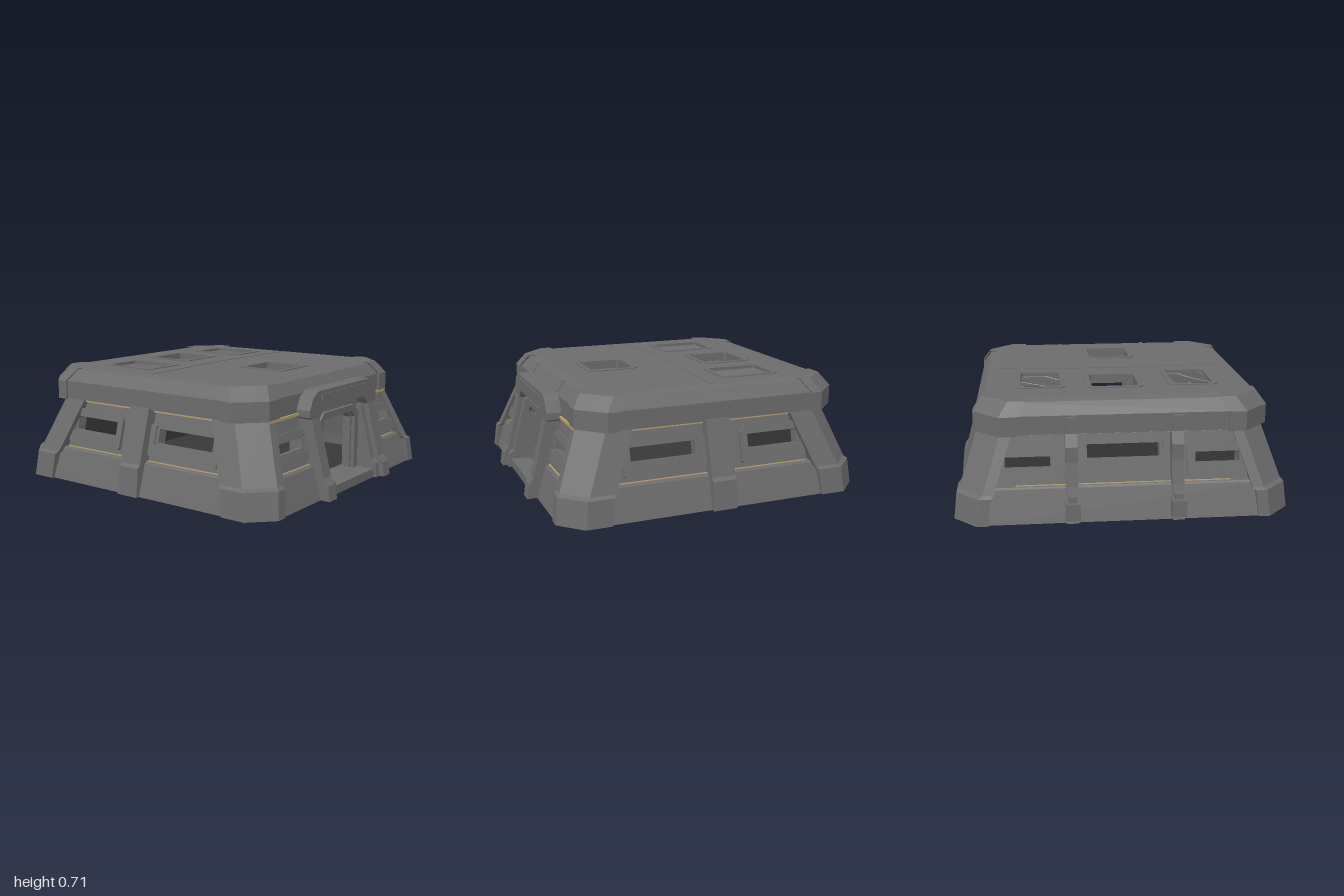
import * as THREE from 'three';

const hull = new THREE.MeshStandardMaterial({ color: 0x6c6c6c, flatShading: true, side: THREE.DoubleSide });
hull.name = 'hull grey';
const dark = new THREE.MeshStandardMaterial({ color: 0x383838 });
dark.name = 'interior dark grey';
const amber = new THREE.MeshStandardMaterial({ color: 0xb8a070 });
amber.name = 'amber light';

function add(parent, name, geo, mat = hull, x = 0, y = 0, z = 0) {
  const m = new THREE.Mesh(geo, mat);
  m.name = name;
  m.position.set(x, y, z);
  parent.add(m);
  return m;
}
const box = (w, h, d) => new THREE.BoxGeometry(w, h, d);
const poly = pts => new THREE.Shape(pts.map(p => new THREE.Vector2(p[0], p[1])));
const extrude = (shape, depth) => new THREE.ExtrudeGeometry(shape, { depth, bevelEnabled: false });

// rectangle with separate chamfers at bottom and top
const chamferRect = (x0, x1, y0, y1, cb, ct = cb) => [
  [x0 + cb, y0], [x1 - cb, y0], [x1, y0 + cb], [x1, y1 - ct],
  [x1 - ct, y1], [x0 + ct, y1], [x0, y1 - ct], [x0, y0 + cb]];

function holed(outer, holes) {
  const s = poly(outer);
  holes.forEach(h => s.holes.push(new THREE.Path(poly(h).getPoints())));
  return s;
}

// side profile of [outward, height] points, extruded across a width centred on x
function profileBar(pts, width) {
  const g = extrude(poly(pts), width);
  g.rotateY(-Math.PI / 2); // profile x becomes +z
  g.translate(width / 2, 0, 0);
  return g;
}

// skin joining plan outlines [x, z] at given heights, with optional end caps
function loft(rings, caps) {
  const n = rings[0].pts.length, pos = [], idx = [];
  rings.forEach(r => r.pts.forEach(p => pos.push(p[0], r.y, p[1])));
  for (let r = 0; r < rings.length - 1; r++) {
    for (let i = 0; i < n; i++) {
      const a = r * n + i, b = r * n + (i + 1) % n;
      idx.push(a, a + n, b, b, a + n, b + n);
    }
  }
  if (caps) {
    const tri = THREE.ShapeUtils.triangulateShape(rings[0].pts.map(p => new THREE.Vector2(p[0], p[1])), []);
    const top = (rings.length - 1) * n;
    tri.forEach(([a, b, c]) => idx.push(a, b, c, top + a, top + c, top + b));
  }
  const g = new THREE.BufferGeometry();
  g.setAttribute('position', new THREE.Float32BufferAttribute(pos, 3));
  g.setIndex(idx);
  const flat = g.toNonIndexed();
  flat.computeVertexNormals();
  return flat;
}

// L-shaped chamfered corner, levels are [y, halfX, halfZ]
function corner(levels, sx, sz, c, wx, wz, t) {
  return loft(levels.map(([y, hx, hz]) => {
    const p = [[hx, hz - wz], [hx, hz - c], [hx - c, hz], [hx - wx, hz],
      [hx - wx, hz - t], [hx - c - t * 0.5, hz - t], [hx - t, hz - c - t * 0.5], [hx - t, hz - wz]]
      .map(q => [q[0] * sx, q[1] * sz]);
    return { y, pts: sx * sz < 0 ? p.reverse() : p };
  }), true);
}

const TILT = Math.atan(0.13 / 0.5);

// one sloped wall with framed windows; windows are [panel rect, hole rect]
function wall(name, angle, d, windows, skirts, lights, door) {
  const side = new THREE.Group();
  side.name = name;
  side.rotation.y = angle;
  const slope = new THREE.Group();
  slope.name = 'slopedPanels';
  slope.position.z = d - 0.05;
  slope.rotation.x = -TILT;
  side.add(slope);
  const k = 1 / Math.cos(TILT);
  const rect = (r, cb, ct) => chamferRect(r[0], r[1], r[2] * k, r[3] * k, cb, ct);
  const holes = windows.map(w => rect(w[1], 0.004));
  if (door) holes.push(rect([-0.25, 0.25, 0.02, 0.47], 0.01));
  add(slope, 'wallPanel', extrude(holed([[-0.8, 0], [0.8, 0], [0.7, 0.535], [-0.7, 0.535]], holes), 0.05), hull, 0, 0, -0.05);
  windows.forEach(([panel, hole]) => {
    const grow = [hole[0] - 0.02, hole[1] + 0.02, hole[2] - 0.015, hole[3] + 0.015];
    add(slope, 'windowPanel', extrude(holed(rect(panel, 0.01, 0.035), [rect(grow, 0.008)]), 0.022));
    add(slope, 'windowFrame', extrude(holed(rect(grow, 0.006), [rect(hole, 0.004)]), 0.012));
  });
  skirts.forEach(([a, b]) => {
    const o = d - 0.012;
    add(side, 'skirt', profileBar([[o - 0.1, 0], [o, 0], [o - 0.055, 0.19], [o - 0.065, 0.2], [o - 0.13, 0.2]], b - a), hull, (a + b) / 2);
  });
  lights.forEach(([a, b]) => {
    add(side, 'eaveLight', box(b - a, 0.016, 0.03), amber, (a + b) / 2, 0.492, d - 0.172);
    add(side, 'ledgeLight', box(b - a, 0.005, 0.008), amber, (a + b) / 2, 0.203, d - 0.092);
  });
  return side;
}

export function createModel() {
  const model = new THREE.Group();
  model.name = 'bunker';
  const body = new THREE.Group();
  body.name = 'body';
  body.position.z = -0.01;
  model.add(body);

  // walls
  const small = s => {
    const m = (a, b) => (s > 0 ? [a, b] : [-b, -a]);
    return [[...m(0.37, 0.73), 0.23, 0.41], [...m(0.42, 0.68), 0.30, 0.36]];
  };
  const wide = [[-0.27, 0.27, 0.27, 0.47], [-0.21, 0.21, 0.34, 0.42]];
  const sideWindows = s => [
    [[0.06, 0.57, 0.23, 0.44], [0.12, 0.52, 0.31, 0.39]],
    [[-0.6, -0.17, 0.23, 0.44], [-0.55, -0.22, 0.31, 0.39]],
  ].map(w => w.map(([a, b, c, e]) => (s > 0 ? [-b, -a, c, e] : [a, b, c, e])));
  body.add(wall('frontWall', 0, 0.96, [small(1), small(-1)], [[0.28, 0.8], [-0.8, -0.28]], [[0.38, 0.7], [-0.7, -0.38]], true));
  body.add(wall('backWall', Math.PI, 0.96, [small(1), small(-1), wide], [[-0.8, 0.8]], [[-0.62, 0.62]]));
  for (const s of [1, -1]) {
    const side = wall(s > 0 ? 'leftWall' : 'rightWall', s * Math.PI / 2, 0.975, sideWindows(s), [[-0.8, 0.8]], [[-0.6, 0.6]]);
    add(side, 'centreRib', profileBar([[0.8, 0], [0.987, 0], [0.968, 0.17], [0.95, 0.19], [0.862, 0.51], [0.75, 0.51]], 0.15), hull, s * 0.015);
    body.add(side);
  }

  // corner pillars
  for (const sx of [1, -1]) for (const sz of [1, -1]) {
    add(body, 'cornerPillar', corner([[0, 0.98, 0.96], [0.155, 0.962, 0.942], [0.17, 0.945, 0.925], [0.51, 0.832, 0.79]], sx, sz, 0.135, 0.2, 0.29, 0.07));
  }

  // floor and interior
  const oct = (hx, hz, c, zc = 0) => chamferRect(-hx, hx, -hz + zc, hz + zc, c);
  add(body, 'base', loft([{ y: 0, pts: oct(0.96, 0.945, 0.135) }, { y: 0.012, pts: oct(0.96, 0.945, 0.135) }].map(r => ({ y: r.y, pts: r.pts.reverse() })), true));
  add(body, 'floor', box(1.7, 0.008, 1.62), dark, 0, 0.017, 0);
  add(body, 'innerBackWall', box(1.36, 0.48, 0.01), dark, 0, 0.25, -0.72);

  // roof rim with armoured corners
  const roof = new THREE.Group();
  roof.name = 'roof';
  roof.position.z = -0.04;
  model.add(roof);
  add(roof, 'roofRim', loft([[0.5, 0.74, 0.71, 0.13], [0.5, 0.845, 0.82, 0.15], [0.61, 0.845, 0.82, 0.15], [0.68, 0.795, 0.77, 0.14], [0.69, 0.725, 0.7, 0.125]]
    .map(([y, hx, hz, c]) => ({ y, pts: oct(hx, hz, c).reverse() })), false));
  for (const sx of [1, -1]) for (const sz of [1, -1]) {
    add(roof, 'roofCorner', corner([[0.495, 0.857, 0.832], [0.61, 0.857, 0.832], [0.687, 0.803, 0.778]], sx, sz, 0.15, 0.25, 0.22, 0.07));
  }
  for (const x of [-0.3, 0.3]) {
    add(roof, 'rimJoint', profileBar([[0.8, 0.505], [0.825, 0.505], [0.825, 0.612], [0.775, 0.684], [0.74, 0.684]], 0.02), hull, x);
  }

  // deck with hatch and vent openings [centre x, centre z, half width, half depth]
  const hatches = [[-0.015, 0.36, 0.135, 0.135], [0.02, -0.415, 0.14, 0.14]];
  const vents = [[-0.455, -0.365, 0.12, 0.165], [0.465, -0.365, 0.12, 0.165]];
  const opening = ([x, z, w, h], g = 0, c = 0.015) => chamferRect(x - w - g, x + w + g, -z - h - g, -z + h + g, c);
  const all = [...hatches, ...vents];
  const deck = extrude(holed(oct(0.728, 0.702, 0.125, 0.04), all.map(o => opening(o))), 0.05).rotateX(-Math.PI / 2);
  add(model, 'roofDeck', deck, hull, 0, 0.64, 0);
  all.forEach(o => {
    const frame = extrude(holed(opening(o, 0.03, 0.025), [opening(o)]), 0.01).rotateX(-Math.PI / 2);
    add(model, 'openingFrame', frame, hull, 0, 0.686, 0);
  });
  vents.forEach(([x, z, w, h]) => {
    add(model, 'ventWell', box(w * 2, 0.008, h * 2), dark, x, 0.645, z);
    for (let i = 0; i < 12; i++) {
      const slat = add(model, 'ventSlat', box(w * 2, 0.004, 0.018), hull, x, 0.672, z - h + (i + 0.5) * h / 6);
      slat.rotation.x = 0.6;
    }
  });
  // roof seam
  for (const s of [1, -1]) {
    const seam = add(model, 'deckSeam', box(0.74, 0.006, 0.008), hull, s * 0.365, 0.69, -0.06);
    seam.rotation.y = -s * 0.06;
  }

  // entrance portal
  const portal = new THREE.Group();
  portal.name = 'entrance';
  model.add(portal);
  for (const s of [1, -1]) {
    const leg = profileBar([[0.72, 0], [1.0, 0], [0.985, 0.09], [0.955, 0.13], [0.862, 0.5], [0.72, 0.5]], 0.085);
    add(portal, 'portalLeg', leg, hull, s * 0.345);
    const inner = profileBar([[0.72, 0], [0.97, 0], [0.96, 0.09], [0.93, 0.11], [0.84, 0.46], [0.72, 0.46]], 0.05);
    add(portal, 'innerLeg', inner, hull, s * 0.28);
    for (const y of [0.12, 0.24, 0.35]) add(portal, 'doorLatch', box(0.025, 0.04, 0.03), hull, s * 0.185, y, 0.8);
  }
  const hood = [[0.41, 0.48], [0.41, 0.52], [0.375, 0.59], [0.32, 0.622]];
  const under = [[0.25, 0.515], [0.3, 0.46], [0.36, 0.45]];
  const flip = a => a.map(p => [-p[0], p[1]]);
  add(portal, 'portalHood', extrude(poly([...under, ...hood, ...flip(hood).reverse(), ...flip(under).reverse()]), 0.15), hull, 0, 0, 0.72);
  add(portal, 'hoodPlate', box(0.56, 0.05, 0.008), hull, 0, 0.575, 0.872);
  add(portal, 'doorFrame', extrude(holed(chamferRect(-0.28, 0.28, 0, 0.53, 0.001, 0.06), [chamferRect(-0.19, 0.19, 0.055, 0.42, 0.001, 0.035)]), 0.05), hull, 0, 0, 0.76);
  add(portal, 'doorTrim', extrude(holed(chamferRect(-0.245, 0.245, 0.055, 0.47, 0.001, 0.06), [chamferRect(-0.2, 0.2, 0.056, 0.43, 0.001, 0.04)]), 0.03), hull, 0, 0, 0.805);
  add(portal, 'doorSill', box(0.54, 0.055, 0.22), hull, 0, 0.0275, 0.84);

  // back ribs with feet and clips
  for (const x of [-0.31, 0.3]) {
    const rib = profileBar([[0.75, 0], [0.975, 0], [0.92, 0.2], [0.895, 0.34], [0.895, 0.43], [0.86, 0.5], [0.7, 0.5]], 0.07);
    rib.rotateY(Math.PI);
    add(model, 'backRib', rib, hull, x);
    add(model, 'ribFoot', box(0.085, 0.1, 0.06), hull, x, 0.075, -0.968);
    add(model, 'ribClip', box(0.05, 0.06, 0.04), hull, x, 0.13, -0.955);
    add(model, 'rimClip', box(0.06, 0.09, 0.03), hull, x, 0.555, -0.868);
  }
  return model;
}
